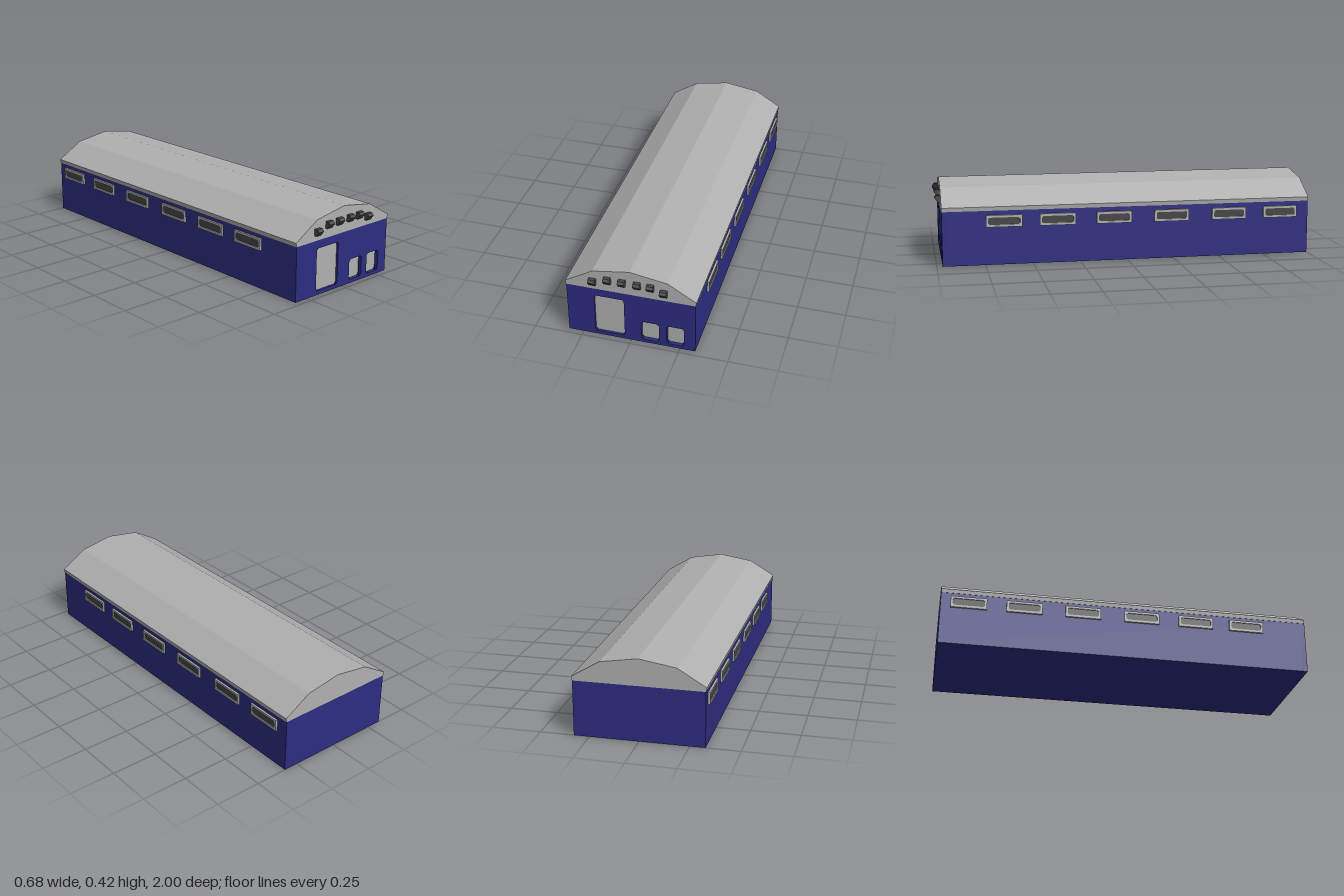
import * as THREE from 'three';

const mat = (name, color) => new THREE.MeshStandardMaterial({ name, color, flatShading: true });

export function createModel() {
  const blue = mat('wall blue', 0x2d2d82);
  const grey = mat('roof grey', 0xb0b0b0);
  const dark = mat('dark glass', 0x464646);
  const group = new THREE.Group();
  group.name = 'hall';

  const FRONT = 0.97, BACK = -1, HALF = 0.328, WALL_H = 0.285, SKIN = 0.03;

  const add = (name, geometry, material, x = 0, y = 0, z = 0) => {
    const mesh = new THREE.Mesh(geometry, material);
    mesh.name = name;
    mesh.position.set(x, y, z);
    group.add(mesh);
    return mesh;
  };
  const poly = pts => new THREE.Shape(pts.map(p => new THREE.Vector2(...p)));
  const extrude = (shape, depth) => new THREE.ExtrudeGeometry(shape, { depth, bevelEnabled: false });
  const rect = (x0, y0, x1, y1) => [[x0, y0], [x1, y0], [x1, y1], [x0, y1]];
  // rectangle with a small square step cut from each corner
  const notched = (x0, y0, x1, y1, n) => [
    [x0 + n, y0], [x1 - n, y0], [x1 - n, y0 + n], [x1, y0 + n], [x1, y1 - n], [x1 - n, y1 - n],
    [x1 - n, y1], [x0 + n, y1], [x0 + n, y1 - n], [x0, y1 - n], [x0, y0 + n], [x0 + n, y0 + n]];
  // rectangle with bevelled corners, centred on the origin
  const bevelled = (w, h, c) => [
    [-w + c, -h], [w - c, -h], [w, -h + c], [w, h - c], [w - c, h], [-w + c, h], [-w, h - c], [-w, -h + c]];

  // walls: solid body plus a front skin with door openings
  const bodyLen = FRONT - SKIN - BACK;
  add('walls', new THREE.BoxGeometry(HALF * 2, WALL_H, bodyLen), blue, 0, WALL_H / 2, BACK + bodyLen / 2);
  const doors = [
    ['largeDoor', -0.187, 0.02, -0.034, 0.243, 0.018],
    ['smallDoorRight', 0.052, 0.018, 0.143, 0.128, 0.01],
    ['smallDoorLeft', 0.183, 0.018, 0.27, 0.128, 0.01]];
  const skin = poly(rect(-HALF, 0, HALF, WALL_H));
  for (const [name, x0, y0, x1, y1, thick] of doors) {
    skin.holes.push(new THREE.Path(notched(x0, y0, x1, y1, 0.007).map(p => new THREE.Vector2(...p))));
    add(name, extrude(poly(rect(x0, y0, x1, y1)), thick), grey, 0, 0, FRONT - SKIN);
  }
  add('frontWall', extrude(skin, SKIN), blue, 0, 0, FRONT - SKIN);

  // faceted roof with gables
  const roof = poly([[-0.33, WALL_H], [0.33, WALL_H], [0.333, 0.306], [0.19, 0.392],
    [0, 0.423], [-0.19, 0.392], [-0.333, 0.306]]);
  add('roof', extrude(roof, FRONT - BACK), grey, 0, 0, BACK);

  // side windows: frame with a slightly sunk pane
  const frame = poly(rect(-0.094, -0.031, 0.094, 0.031));
  frame.holes.push(new THREE.Path(bevelled(0.083, 0.019, 0.008).map(p => new THREE.Vector2(...p))));
  const frameGeo = extrude(frame, 0.011);
  const paneGeo = extrude(poly(bevelled(0.083, 0.019, 0.008)), 0.006);
  const rows = [
    [1, 0.231, [0.65, 0.37, 0.07, -0.24, -0.555, -0.84]],
    [-1, 0.234, [0.635, 0.355, 0.06, -0.255, -0.565, -0.855]]];
  for (const [side, y, zs] of rows) {
    for (const z of zs) {
      const label = side > 0 ? 'Left' : 'Right';
      add('windowFrame' + label, frameGeo, grey, side * HALF, y, z).rotation.y = side * Math.PI / 2;
      add('windowPane' + label, paneGeo, dark, side * HALF, y, z).rotation.y = side * Math.PI / 2;
    }
  }

  // gable lamps: wedge profile (z out, y up) swept across the width
  const lampW = 0.035;
  const lampGeo = extrude(poly([[0, 0], [0.012, 0], [0.03, 0.024], [0.02, 0.036], [0, 0.036]]), lampW);
  lampGeo.rotateY(-Math.PI / 2).translate(lampW / 2, 0, 0);
  const lamps = [[-0.19, 0.313], [-0.113, 0.335], [-0.039, 0.335], [0.038, 0.335], [0.105, 0.335], [0.171, 0.314]];
  for (const [x, y] of lamps) add('gableLamp', lampGeo, dark, x, y, FRONT);

  return group;
}
